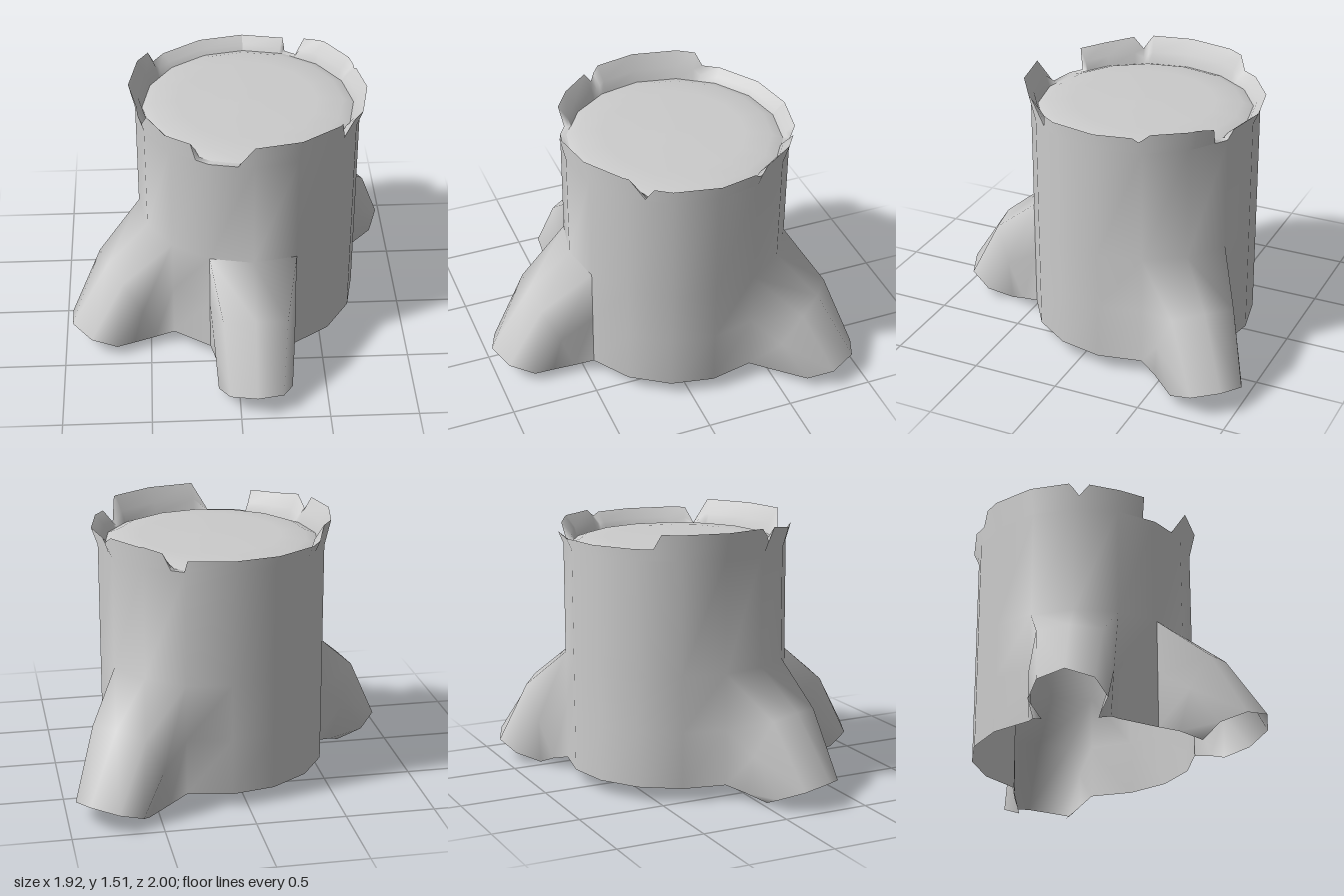
import * as THREE from 'three';
import { mergeGeometries, mergeVertices } from 'three/addons/utils/BufferGeometryUtils.js';

const CX = 0.09, CZ = -0.135, R = 0.64, SIDES = 16, STEP = 360 / SIDES;
const Y0 = 0.08, Y1 = 0.72, Y2 = 1.36;
const rad = THREE.MathUtils.degToRad;

// Point at angle a (degrees), r outward, s sideways, height y
function at(a, r, s, y) {
  const c = Math.cos(rad(a)), n = Math.sin(rad(a));
  return [CX + r * c - s * n, y, CZ + r * n + s * c];
}

// Surface through rows of points
function grid(rows) {
  const w = rows[0].length, index = [];
  for (let i = 0; i < rows.length - 1; i++) {
    for (let j = 0; j < w - 1; j++) {
      const a = i * w + j, b = a + 1, c = a + w, d = c + 1;
      index.push(a, b, c, b, d, c);
    }
  }
  const g = new THREE.BufferGeometry();
  g.setAttribute('position', new THREE.Float32BufferAttribute(rows.flat(2), 3));
  g.setIndex(index);
  return g;
}

// Half arches [side, outward, height], foot to crest, from trunk to tip
const ARCHES = [
  [[0.245, 0.591, Y0], [0.245, 0.591, 0.4], [0.245, 0.591, Y1], [0, R, Y1]],
  [[0.21, 0.7, 0.05], [0.23, 0.78, 0.28], [0.18, 0.875, 0.485], [0, 0.9, 0.505]],
  [[0.15, 0.81, 0], [0.21, 0.94, 0.06], [0.15, 1.075, 0.115], [0, 1.133, 0.145]],
];
const ROOT_ANGLES = [90, 157.5, 315];

function root(angle) {
  return grid(ARCHES.map(half => [
    ...half.map(([s, r, y]) => at(angle, r, -s, y)),
    ...half.slice(0, 3).reverse().map(([s, r, y]) => at(angle, r, s, y)),
  ]));
}

// Jagged top of the bark: [angle, height]
const RIM = [
  [-90, 1.43], [-69, 1.43], [-67, 1.36], [-60, 1.36], [-57, 1.46], [-48, 1.48],
  [-26, 1.48], [-21, 1.44], [-18, 1.46], [31, 1.46], [36, 1.37], [43, 1.51],
  [90, 1.51], [98, 1.36], [120, 1.36], [121, 1.48], [135, 1.48], [150, 1.505],
  [155, 1.43], [160, 1.51], [212, 1.51], [216, 1.43], [270, 1.43],
];

function rimHeight(a) {
  const k = Math.max(1, RIM.findIndex(p => p[0] >= a));
  const [a0, h0] = RIM[k - 1], [a1, h1] = RIM[k];
  return h0 + (h1 - h0) * (a - a0) / (a1 - a0);
}

// Scale that keeps points on the flat sides of the trunk polygon
function flat(a) {
  const t = ((a % STEP) + STEP) % STEP - STEP / 2;
  return Math.cos(rad(STEP / 2)) / Math.cos(rad(t));
}

// One strip around the rim; profile gives [r, y] for the height at each angle
function rimStrip(profile) {
  const angles = RIM.map(p => p[0]);
  for (let i = -4; i <= 12; i++) angles.push(i * STEP);
  const sorted = [...new Set(angles)].sort((p, q) => p - q);
  return grid(sorted.map(a =>
    profile(rimHeight(a)).map(([r, y]) => at(a, r * flat(a), 0, y))));
}

const flare = h => R + 0.035 * Math.min(1, (h - Y2) / 0.08);

export function createModel() {
  const group = new THREE.Group();
  const add = (name, geometry) => {
    const mesh = new THREE.Mesh(geometry,
      new THREE.MeshStandardMaterial({ color: 0xcccccc, side: THREE.DoubleSide }));
    mesh.name = name;
    group.add(mesh);
    return mesh;
  };

  // Bark: roots, trunk walls and flaring rim as one smooth skin
  const pieces = ROOT_ANGLES.map(root);
  for (let i = 0; i < SIDES; i++) {
    const a = i * STEP, mid = a + STEP / 2;
    const underRoot = ROOT_ANGLES.some(r => Math.abs(r - mid) < STEP);
    const heights = underRoot ? [Y1, Y2] : [Y0, 0.4, Y1, Y2];
    pieces.push(grid([a, a + STEP].map(t => heights.map(y => at(t, R, 0, y)))));
  }
  pieces.push(rimStrip(h => [[R, Y2], [flare(h), h]]));
  const bark = mergeVertices(mergeGeometries(pieces), 0.002);
  bark.computeVertexNormals();
  // Round shading for the upper trunk
  const { position, normal } = bark.attributes;
  for (let i = 0; i < position.count; i++) {
    if (position.getY(i) < 1) continue;
    const n = new THREE.Vector3(position.getX(i) - CX, 0, position.getZ(i) - CZ).normalize();
    normal.setXYZ(i, n.x, n.y, n.z);
  }
  add('barkAndRoots', bark);

  // Inside of the splintered rim, bevelled from its outer edge to the cut face
  const inner = rimStrip(h => [
    [flare(h), h], [0.622, Y2 + (h - Y2) * 0.45], [0.6, Y2],
  ]);
  inner.computeVertexNormals();
  add('innerRim', inner);

  // Slightly domed cut face
  const cut = [[0.605, Y2], [0.54, 1.385], [0.4, 1.395], [0, 1.4]]
    .map(([r, y]) => new THREE.Vector2(r, y));
  add('cutTop', new THREE.LatheGeometry(cut, SIDES)).position.set(CX, 0, CZ);

  return group;
}
